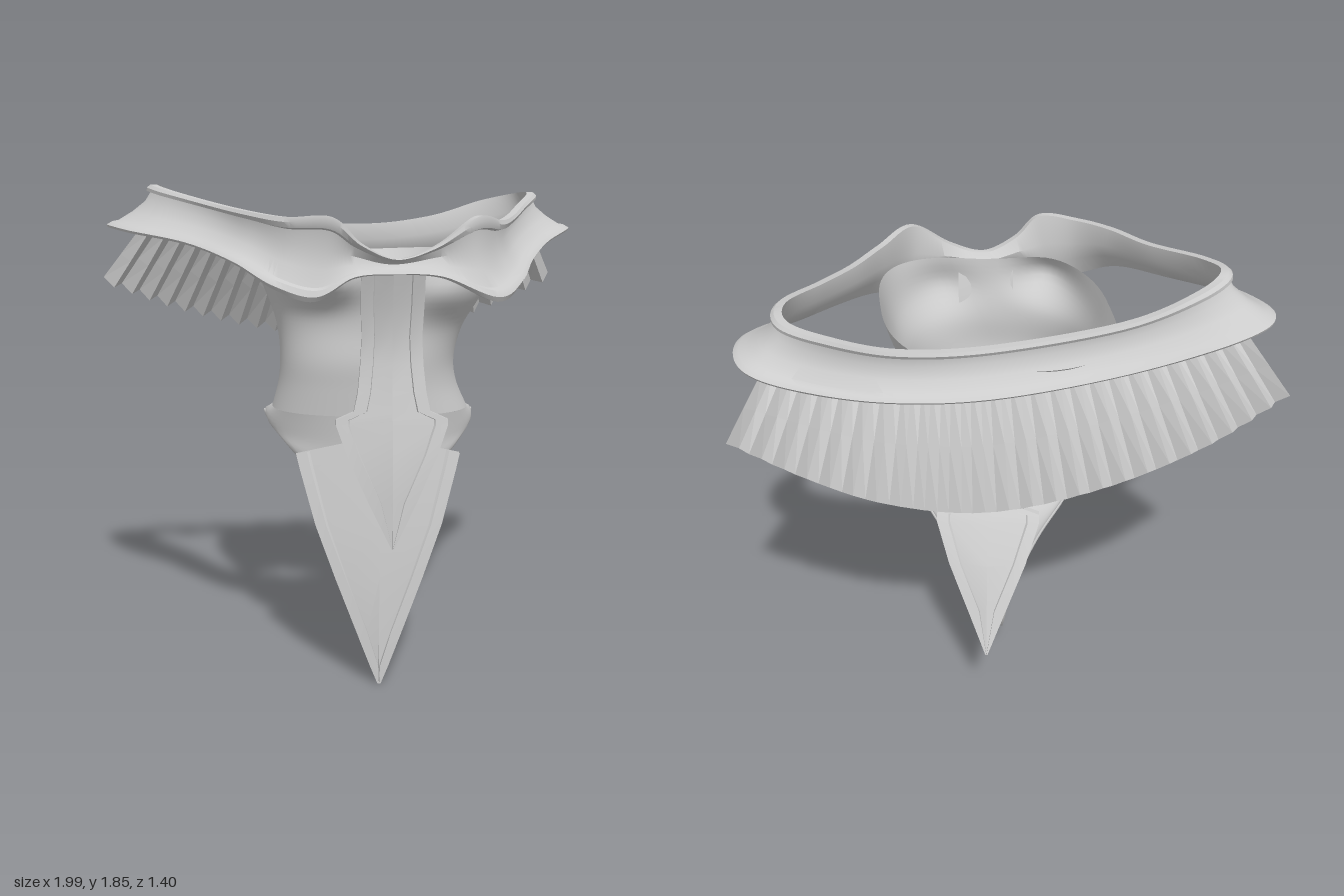
import * as THREE from 'three';
import { toCreasedNormals } from 'three/addons/utils/BufferGeometryUtils.js';

const material = new THREE.MeshStandardMaterial({ color: 0xcccccc, side: THREE.DoubleSide });
const flatMaterial = new THREE.MeshStandardMaterial({ color: 0xcccccc, side: THREE.DoubleSide, flatShading: true });

// Catmull-Rom resampling of rows of numbers, n steps per span
function smooth(rows, n, closed = false) {
  const L = rows.length, out = [];
  const at = (i) => rows[closed ? (i + L) % L : Math.min(L - 1, Math.max(0, i))];
  for (let i = 0; i < (closed ? L : L - 1); i++)
    for (let k = 0; k < n; k++) {
      const t = k / n, [a, b, c, d] = [at(i - 1), at(i), at(i + 1), at(i + 2)];
      out.push(b.map((p, j) => p + 0.5 * t * (c[j] - a[j] + t * (2 * a[j] - 5 * p + 4 * c[j] - d[j]
        + t * (3 * (p - c[j]) + d[j] - a[j])))));
    }
  if (!closed) out.push(rows[L - 1]);
  return out;
}

// Surface through rows of [x, y, z] points
function loft(rows, closeRow = false, closeLoop = false) {
  const m = rows[0].length, n = rows.length, index = [];
  for (let i = 0; i < (closeLoop ? n : n - 1); i++)
    for (let j = 0; j < (closeRow ? m : m - 1); j++) {
      const a = i * m + j, b = i * m + (j + 1) % m, k = ((i + 1) % n) * m;
      index.push(a, k + j, b, b, k + j, k + (j + 1) % m);
    }
  const g = new THREE.BufferGeometry();
  g.setAttribute('position', new THREE.Float32BufferAttribute(rows.flat(2), 3));
  g.setIndex(index);
  g.computeVertexNormals();
  return g;
}

const power = (v, e = 0.87) => Math.sign(v) * Math.abs(v) ** e;

// Bodice rings: y, centre x, half width, front z, back z, sideways skew, squareness
function bodice() {
  const rings = smooth([
    [1.58, 0.1, 0.445, 0.55, -0.35, 0.2, 0.72], [1.44, 0.1, 0.4, 0.525, -0.24, 0.17, 0.76],
    [1.32, 0.09, 0.355, 0.515, -0.15, 0.08, 0.8], [1.2, 0.085, 0.335, 0.52, -0.075, 0.02, 0.85],
    [1.1, 0.09, 0.345, 0.51, -0.06, 0, 0.87], [1.0, 0.1, 0.38, 0.5, -0.09, 0, 0.87],
  ], 6);
  // Bust: centre x, centre y, depth
  const bust = [[-0.12, 1.5, 0.12], [0.35, 1.46, 0.055]];
  return loft(rings.map(([y, cx, w, zf, zb, skew, e]) => Array.from({ length: 72 }, (_, i) => {
    const a = i / 72 * Math.PI * 2;
    let z = (zf + zb) / 2 + (zf - zb) / 2 * power(Math.cos(a), e);
    const x = cx + w * power(Math.sin(a), e) + skew * (z - 0.12);
    if (Math.cos(a) > 0)
      for (const [bx, by, depth] of bust)
        z += depth * Math.exp(-(((x - bx) / 0.15) ** 2) - ((y - by) / 0.085) ** 2);
    return [x, y + 0.02 * Math.max(0, (y - 1.5) / 0.08) * Math.abs(Math.sin(a)), z];
  })), true);
}

// High-cut lower body, front hip to back hip: centre y z, edge y z, half width
const hipRows = smooth([
  [1.0, 0.5, 1.0, 0.205, 0.38], [0.9, 0.485, 0.967, 0.13, 0.41], [0.82, 0.475, 0.915, 0.28, 0.35],
  [0.72, 0.465, 0.82, 0.37, 0.26], [0.6, 0.455, 0.67, 0.43, 0.19], [0.45, 0.42, 0.47, 0.41, 0.13],
  [0.31, 0.35, 0.32, 0.345, 0.085], [0.2, 0.23, 0.2, 0.23, 0.05], [0.17, 0.04, 0.17, 0.04, 0.033],
  [0.21, -0.17, 0.21, -0.17, 0.03], [0.31, -0.29, 0.31, -0.28, 0.04], [0.5, -0.35, 0.49, -0.335, 0.07],
  [0.66, -0.32, 0.62, -0.295, 0.12], [0.8, -0.255, 0.75, -0.235, 0.19], [0.88, -0.19, 0.86, -0.15, 0.28],
  [0.94, -0.13, 0.945, 0.0, 0.37], [0.96, -0.115, 0.967, 0.13, 0.41], [1.0, -0.09, 1.0, 0.205, 0.38],
], 5);

function lowerBody() {
  return loft(hipRows.map(([yc, zc, ye, ze, w]) => Array.from({ length: 25 }, (_, i) => {
    const a = (i / 12 - 1) * Math.PI / 2, c = power(Math.cos(a));
    return [0.1 + w * power(Math.sin(a)), ye + (yc - ye) * c, ze + (zc - ze) * c];
  })));
}

function legTrim(side) {
  const pts = hipRows.slice(5, -6).map(([, , y, z, w]) => new THREE.Vector3(0.1 + side * w, y, z));
  return new THREE.TubeGeometry(new THREE.CatmullRomCurve3(pts, true), 120, 0.007, 6, true);
}

// Wide collar: lower edge x y z, upper edge x y z
function collar() {
  const edges = smooth([
    [-0.93, 1.69, -0.1, -0.75, 1.85, -0.07], [-0.82, 1.67, 0.12, -0.69, 1.83, 0.08],
    [-0.58, 1.63, 0.34, -0.5, 1.78, 0.3], [-0.4, 1.57, 0.55, -0.36, 1.75, 0.5],
    [-0.26, 1.49, 0.66, -0.22, 1.73, 0.63], [-0.12, 1.45, 0.68, -0.06, 1.73, 0.67],
    [0.01, 1.52, 0.66, 0.04, 1.64, 0.65], [0.15, 1.53, 0.63, 0.17, 1.585, 0.62],
    [0.33, 1.52, 0.62, 0.31, 1.63, 0.6], [0.53, 1.44, 0.57, 0.46, 1.73, 0.55],
    [0.64, 1.49, 0.42, 0.57, 1.715, 0.38], [0.72, 1.56, 0.2, 0.65, 1.73, 0.17],
    [0.83, 1.62, -0.05, 0.73, 1.77, -0.05], [0.97, 1.67, -0.3, 0.82, 1.82, -0.3],
    [0.94, 1.66, -0.48, 0.79, 1.82, -0.45], [0.78, 1.62, -0.54, 0.64, 1.79, -0.5],
    [0.46, 1.55, -0.51, 0.4, 1.72, -0.46], [0.08, 1.52, -0.43, 0.08, 1.69, -0.37],
    [-0.4, 1.56, -0.31, -0.38, 1.73, -0.26], [-0.8, 1.66, -0.23, -0.64, 1.81, -0.18],
  ], 8, true);
  // Band section: height fraction, outward offset; a rolled lip runs along each edge
  const section = [[-0.03, -0.02], [-0.04, 0.005], [0.02, 0.018], [0.1, 0.01], [0.13, -0.01], [0.35, -0.03],
    [0.6, -0.037], [0.83, -0.02], [0.85, 0], [0.93, 0.012], [1, 0.01], [1, -0.018], [0.6, -0.05], [0.3, -0.045]];
  const n = edges.length;
  const rows = edges.map((e, i) => {
    const p = edges[(i + n - 1) % n], q = edges[(i + 1) % n];
    const tx = q[0] + q[3] - p[0] - p[3], tz = q[2] + q[5] - p[2] - p[5], l = Math.hypot(tx, tz);
    return section.map(([u, o]) => [
      e[0] + (e[3] - e[0]) * u - tz / l * o, e[1] + (e[4] - e[1]) * u, e[2] + (e[5] - e[2]) * u + tx / l * o]);
  });
  return toCreasedNormals(loft(rows, true, true), 0.7);
}

// Pleated frill: zigzag strip from inside the collar to a free outer edge
function frill() {
  const curve = (pts) => new THREE.CatmullRomCurve3(pts.map((p) => new THREE.Vector3(...p)));
  const inner = curve([[-0.83, 1.66, -0.19], [-0.4, 1.6, -0.245], [0.08, 1.55, -0.345], [0.46, 1.57, -0.425], [0.87, 1.65, -0.5]]);
  const outer = curve([[-0.99, 1.455, -0.275], [-0.7, 1.335, -0.43], [-0.31, 1.23, -0.57], [0.1, 1.18, -0.655],
    [0.45, 1.23, -0.68], [0.7, 1.32, -0.675], [0.985, 1.45, -0.645]]);
  const folds = 50, rows = [];
  for (let i = 0; i <= folds; i++) {
    const a = inner.getPointAt(i / folds), b = outer.getPointAt(i / folds);
    const across = b.clone().sub(a);
    const normal = across.clone().cross(outer.getTangentAt(i / folds)).normalize();
    rows.push([0, 0.5, 1].map((t) => a.clone().addScaledVector(across, t)
      .addScaledVector(normal, (i % 2 ? 1 : -1) * (0.011 + 0.015 * t)).toArray()));
  }
  return loft(rows);
}

// Bordered pointed panel; rows: y, z, half width, rise at the centre. dir is the facing side
function panel(rows, cx, dir, bend, border) {
  const t = 0.022;
  const sections = rows.map(([y, z, w, rise = 0]) => {
    const b = Math.max(w - border, w * 0.1);
    return [[-w, -t], [-w, 0], [-b, 0], [-b * 0.96, -0.009], [0, -0.003], [b * 0.96, -0.009], [b, 0], [w, 0], [w, -t], [0, -t]]
      .map(([x, d]) => [cx + x, y + rise * (1 - Math.abs(x) / w), z + dir * (d - bend * Math.abs(x))]);
  });
  return toCreasedNormals(loft(sections, true), 0.35);
}

export function createModel() {
  const model = new THREE.Group();
  const add = (name, geometry, mat = material) => {
    const mesh = new THREE.Mesh(geometry, mat);
    mesh.name = name;
    model.add(mesh);
  };
  add('bodice', bodice());
  add('lowerBody', lowerBody());
  add('rightLegTrim', legTrim(-1));
  add('leftLegTrim', legTrim(1));
  add('collar', collar());
  add('backFrill', frill(), flatMaterial);
  // Strip down the front, ending in an arrowhead
  add('frontStrip', panel([
    [1.54, 0.61, 0.115], [1.42, 0.575, 0.115], [1.3, 0.555, 0.11], [1.2, 0.56, 0.115], [1.1, 0.58, 0.125],
    [1.03, 0.592, 0.14], [1.0, 0.597, 0.205], [0.98, 0.6, 0.205], [0.87, 0.62, 0.165], [0.7, 0.635, 0.088], [0.53, 0.64, 0.004],
  ], 0.16, 1, 0.15, 0.045));
  // Long front point
  add('frontPoint', panel([
    [0.86, 0.535, 0.305, 0.07], [0.8, 0.545, 0.29, 0.04], [0.6, 0.575, 0.235], [0.4, 0.59, 0.162],
    [0.2, 0.6, 0.085], [0.07, 0.602, 0.035], [0, 0.602, 0.006],
  ], 0.115, 1, 0.12, 0.04));
  // Strip down the back, ending in an arrowhead
  add('backStrip', panel([
    [1.45, -0.275, 0.1], [1.32, -0.215, 0.1], [1.2, -0.195, 0.105], [1.08, -0.21, 0.115], [1.0, -0.255, 0.125],
    [0.92, -0.31, 0.14], [0.9, -0.325, 0.2], [0.87, -0.345, 0.2], [0.73, -0.425, 0.15], [0.55, -0.49, 0.075], [0.38, -0.555, 0.004],
  ], 0.11, -1, 0.12, 0.045));
  return model;
}
